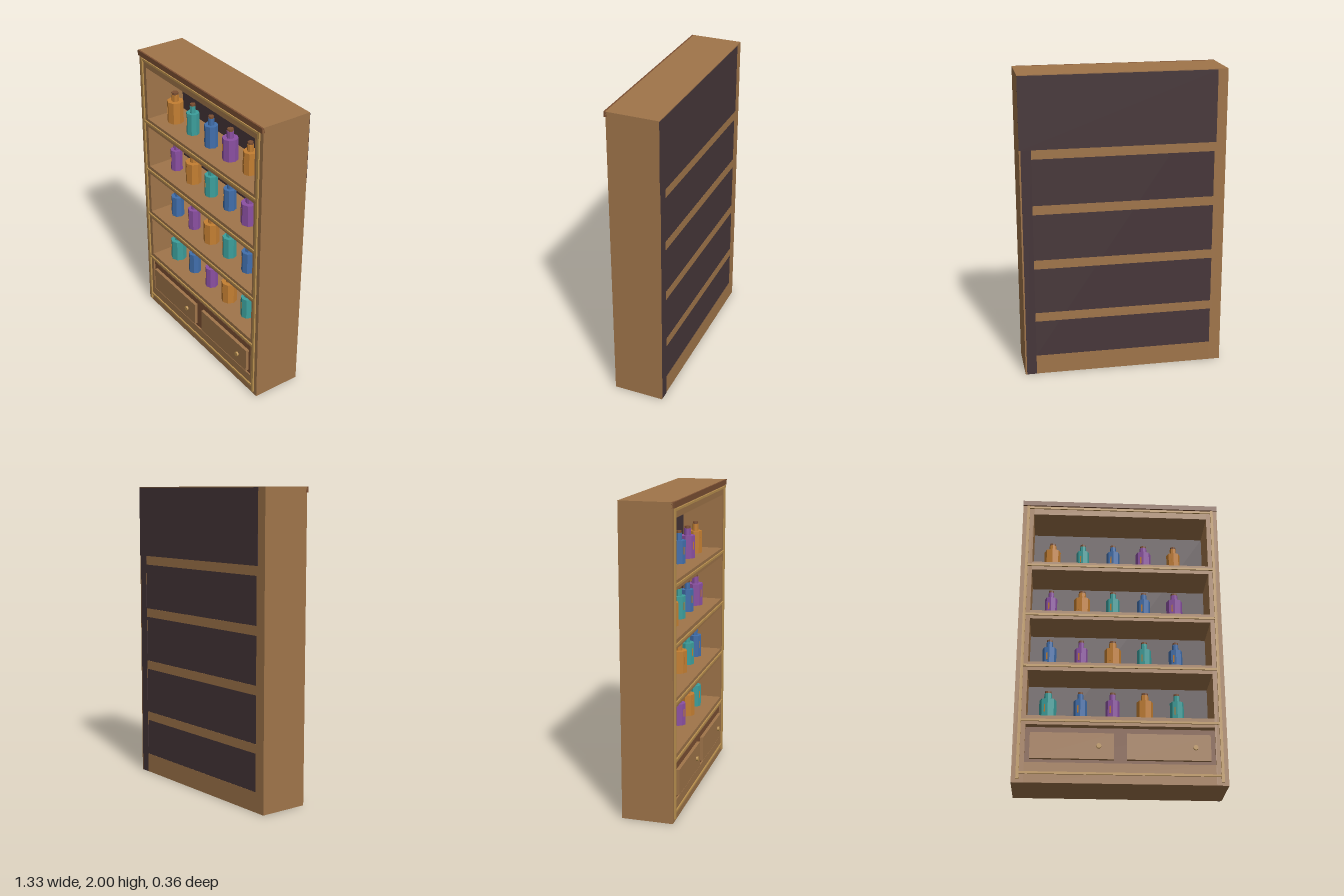
import * as THREE from 'three';

const material = (name, color) => {
  const m = new THREE.MeshStandardMaterial({ color });
  m.name = name;
  return m;
};

export function createModel() {
  const wood = material('light wood', 0xa0754a);
  const brown = material('dark wood', 0x7c5033);
  const backing = material('dark backing', 0x463639);
  const gold = material('gold trim', 0xbb914f);
  const glass = {
    a: material('amber glass', 0xc47f32),
    t: material('teal glass', 0x3c9f9c),
    b: material('blue glass', 0x416fac),
    p: material('purple glass', 0x8b50a2),
  };

  const root = new THREE.Group();
  root.name = 'shelfCabinet';

  // Box given by its lower and upper limits on each axis
  function box(name, mat, x0, x1, y0, y1, z0, z1, parent = root) {
    const mesh = new THREE.Mesh(new THREE.BoxGeometry(x1 - x0, y1 - y0, z1 - z0), mat);
    mesh.position.set((x0 + x1) / 2, (y0 + y1) / 2, (z0 + z1) / 2);
    mesh.name = name;
    parent.add(mesh);
    return mesh;
  }

  // Carcass
  const W = 0.665, IN = 0.59, BACK = -0.178, FRONT = 0.155;
  for (const s of [-1, 1]) {
    const a = s * IN, b = s * W;
    box(s > 0 ? 'leftSide' : 'rightSide', wood, Math.min(a, b), Math.max(a, b), 0, 2, BACK, FRONT);
  }
  box('topBoard', wood, -IN, IN, 1.9, 2, BACK, FRONT);
  box('base', wood, -IN, IN, 0, 0.13, BACK, FRONT);
  box('backPanel', backing, -IN, IN, 0.13, 1.9, -0.177, -0.125);
  box('crown', brown, -W, W, 1.965, 2, FRONT - 0.01, 0.166);

  // Shelves
  const shelfTops = [0.435, 0.8, 1.167, 1.53];
  shelfTops.forEach((y) => box('shelf', wood, -IN, IN, y - 0.06, y, BACK, FRONT));

  // Backing seen from behind, above the top shelf and along one edge
  box('rearTopPanel', backing, -0.6, W, 1.53, 1.995, -0.18, BACK);
  box('rearEdgePanel', backing, IN, W - 0.01, 0, 1.53, -0.18, BACK);

  // Gold trim on the face
  for (const s of [-1, 1]) {
    box('uprightTrim', gold, s * 0.628 - 0.009, s * 0.628 + 0.009, 0.02, 1.963, FRONT, 0.166);
  }
  for (const y of [0.062, 0.402, 0.772, 1.136, 1.503, 1.95]) {
    box('railTrim', gold, -0.619, 0.619, y - 0.007, y + 0.007, FRONT, 0.164);
  }

  // Drawers
  box('drawerFrame', brown, -IN, IN, 0.13, 0.36, -0.1, 0.145);
  for (const x of [-0.3, 0.3]) {
    const drawer = new THREE.Group();
    drawer.name = 'drawer';
    drawer.position.set(x, 0, 0);
    box('drawerFront', wood, -0.26, 0.26, 0.152, 0.32, 0.14, 0.167, drawer);
    const knob = new THREE.Mesh(new THREE.CylinderGeometry(0.016, 0.016, 0.02, 8), gold);
    knob.rotation.x = Math.PI / 2;
    knob.position.set(0.165, 0.235, 0.17);
    knob.name = 'knob';
    drawer.add(knob);
    root.add(drawer);
  }

  // Eight-sided bottle with neck, stopper and a slim highlight
  function bottle(mat, r) {
    const g = new THREE.Group();
    g.name = 'bottle';
    const add = (name, m, radius, y0, y1) => {
      const geo = new THREE.CylinderGeometry(radius, radius, y1 - y0, 8).toNonIndexed();
      geo.computeVertexNormals();
      const mesh = new THREE.Mesh(geo, m);
      mesh.position.y = (y0 + y1) / 2;
      mesh.name = name;
      g.add(mesh);
    };
    add('bottleBody', mat, r, 0, 0.15);
    add('bottleNeck', mat, r * 0.45, 0.15, 0.197);
    add('stopper', brown, r * 0.4, 0.197, 0.212);
    const pivot = new THREE.Group();
    pivot.rotation.y = -Math.PI / 8;
    const d = r * Math.cos(Math.PI / 8);
    box('highlight', glass.a, -0.004, 0.004, 0.06, 0.11, d - 0.002, d + 0.002, pivot);
    g.add(pivot);
    return g;
  }

  // Colours and radii of the bottles, from the lowest shelf up
  const rows = [
    ['tbpat', [0.055, 0.043, 0.045, 0.053, 0.045]],
    ['bpatb', [0.045, 0.043, 0.054, 0.047, 0.045]],
    ['patbp', [0.041, 0.054, 0.045, 0.043, 0.054]],
    ['atbpa', [0.055, 0.043, 0.045, 0.052, 0.046]],
  ];
  rows.forEach(([colours, radii], row) => {
    radii.forEach((r, i) => {
      const b = bottle(glass[colours[i]], r);
      b.position.set(-0.458 + i * 0.207, shelfTops[row], 0.02);
      root.add(b);
    });
  });

  return root;
}
